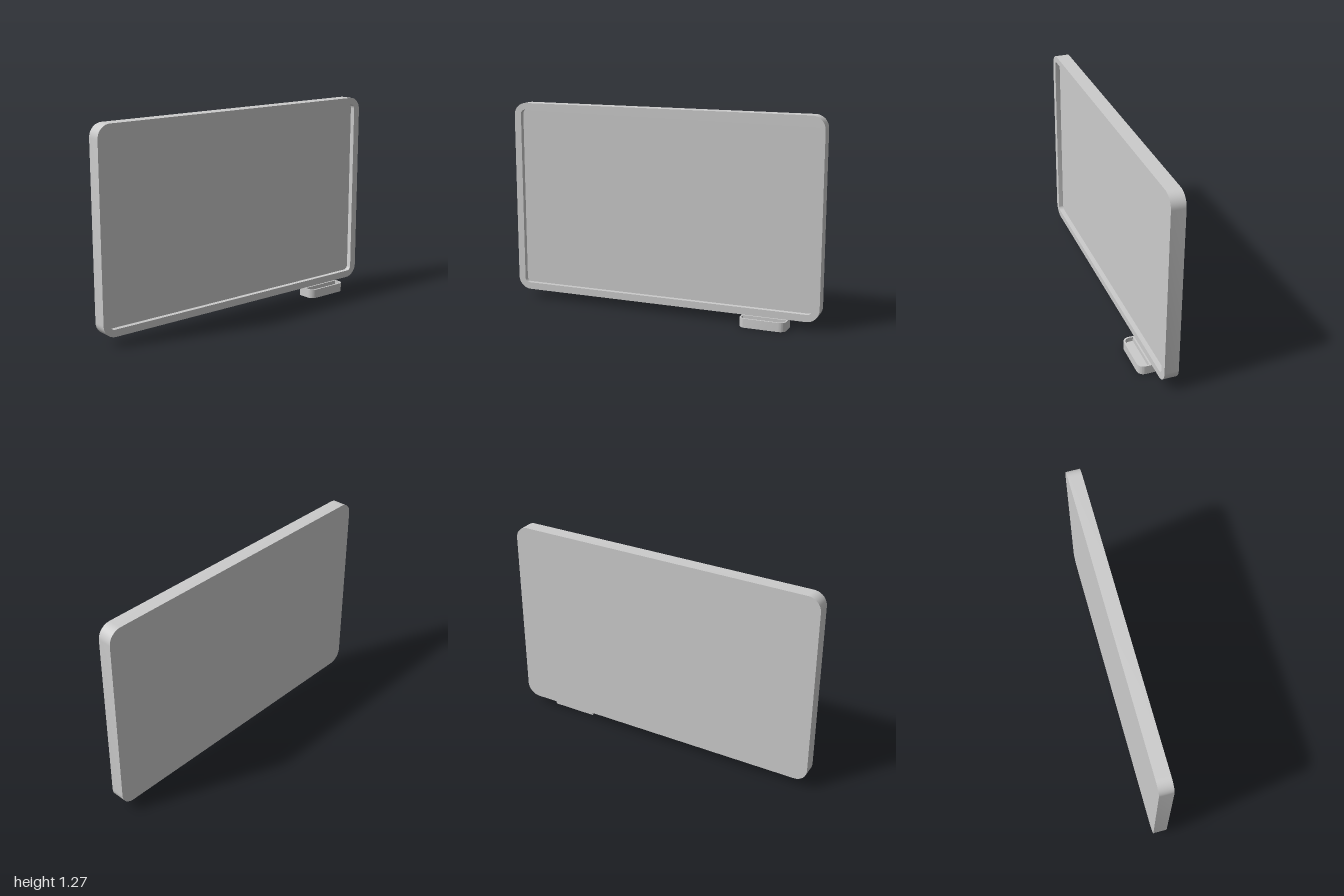
import * as THREE from 'three';
import { mergeGeometries, toCreasedNormals } from 'three/addons/utils/BufferGeometryUtils.js';

const material = new THREE.MeshStandardMaterial({ color: 0xcccccc });

// Counter-clockwise outline; radii run from the lower left corner round to the upper left.
function roundedRect(x0, y0, x1, y1, radii, steps = 10) {
  const corners = [[x0, y0, 1, 1], [x1, y0, -1, 1], [x1, y1, -1, -1], [x0, y1, 1, -1]];
  return corners.flatMap(([x, y, sx, sy], k) => {
    const r = radii[k];
    if (!r) return [new THREE.Vector2(x, y)];
    return Array.from({ length: steps + 1 }, (_, i) => {
      const a = Math.PI * (1 + k / 2 + i / steps / 2);
      return new THREE.Vector2(x + sx * r + r * Math.cos(a), y + sy * r + r * Math.sin(a));
    });
  });
}

// Wall of one outline between two heights.
function wall(points, zA, zB) {
  const pos = [];
  points.forEach((p, i) => {
    const q = points[(i + 1) % points.length];
    pos.push(p.x, p.y, zA, q.x, q.y, zA, q.x, q.y, zB);
    pos.push(p.x, p.y, zA, q.x, q.y, zB, p.x, p.y, zB);
  });
  const g = new THREE.BufferGeometry();
  g.setAttribute('position', new THREE.Float32BufferAttribute(pos, 3));
  return g;
}

function cap(points, z, hole) {
  const shape = new THREE.Shape(points);
  if (hole) shape.holes.push(new THREE.Path(hole));
  const g = new THREE.ShapeGeometry(shape).toNonIndexed().translate(0, 0, z);
  g.deleteAttribute('uv');
  g.deleteAttribute('normal');
  return g;
}

// Solid slab with a recess sunk into its +z face.
function recessedSlab(outer, inner, height, floor) {
  const back = cap(outer, 0).rotateY(Math.PI).scale(-1, 1, 1);
  // Mirroring reverses the winding, so the back cap is flipped explicitly.
  const p = back.attributes.position;
  const flat = cap(outer, 0).attributes.position;
  for (let i = 0; i < p.count; i += 3) {
    [0, 2, 1].forEach((k, j) => p.setXYZ(i + j, flat.getX(i + k), flat.getY(i + k), 0));
  }
  const g = mergeGeometries([
    back,
    wall(outer, 0, height),
    cap(outer, height, inner),
    wall(inner, height, floor),
    cap(inner, floor),
  ]);
  return toCreasedNormals(g, Math.PI / 6);
}

export function createModel() {
  const group = new THREE.Group();
  const add = (name, geometry) => {
    const mesh = new THREE.Mesh(geometry, material);
    mesh.name = name;
    group.add(mesh);
    return mesh;
  };

  // Upright board with a raised rim, facing +x
  const board = add('board', recessedSlab(
    roundedRect(-1, 0.056, 1, 1.27, [0.08, 0.08, 0.08, 0.08]),
    roundedRect(-0.955, 0.1, 0.955, 1.228, [0.03, 0.03, 0.03, 0.03]),
    0.086, 0.056));
  board.rotation.y = Math.PI / 2;
  board.position.x = -0.083;

  // Small pen tray under the lower edge, rounded on its outer side
  const tray = add('penTray', recessedSlab(
    roundedRect(-0.034, 0.528, 0.08, 0.815, [0, 0.04, 0.04, 0]),
    roundedRect(0.013, 0.538, 0.069, 0.805, [0, 0.03, 0.03, 0]),
    0.056, 0.028));
  tray.rotation.x = -Math.PI / 2;

  return group;
}
